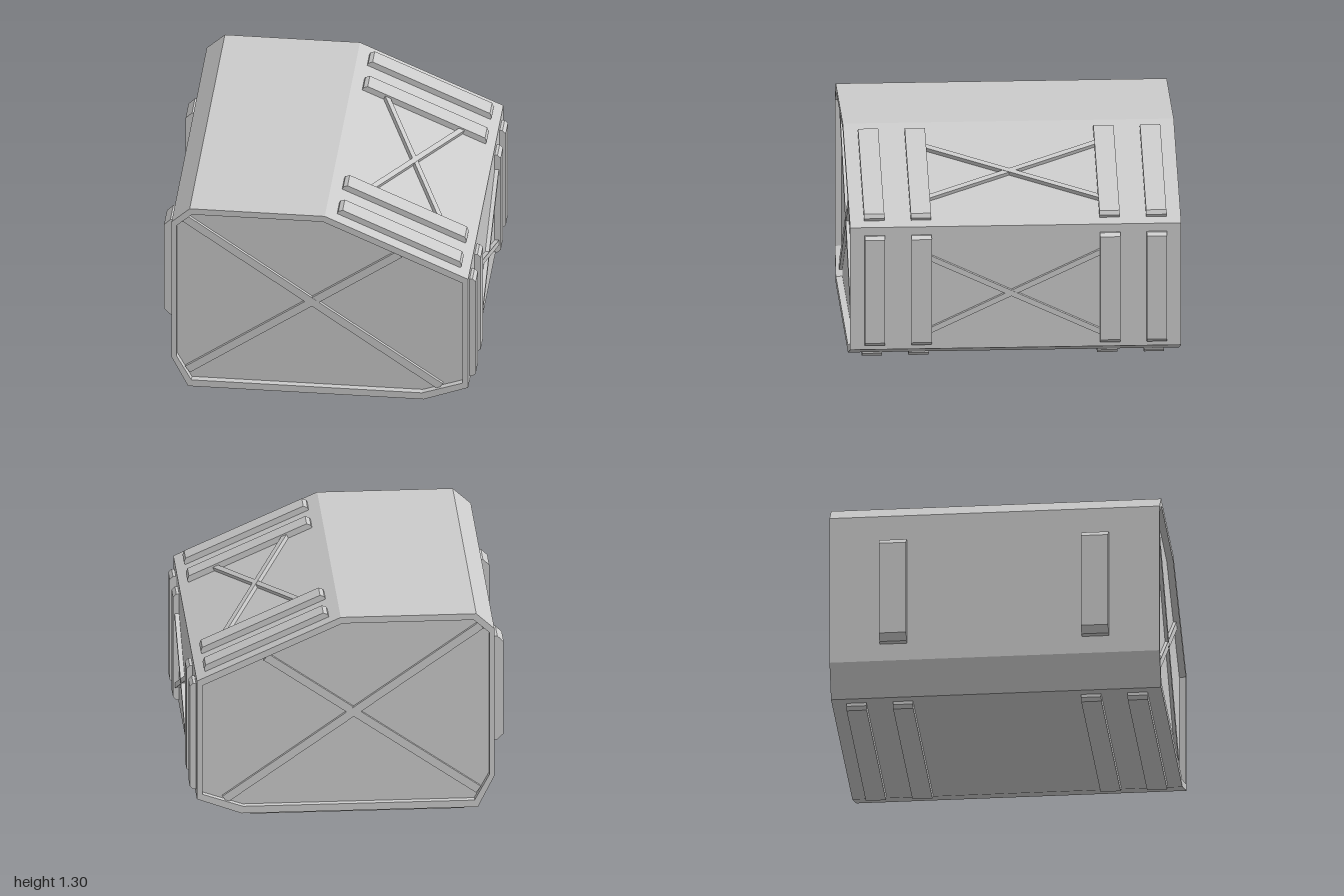
import * as THREE from 'three';

const material = new THREE.MeshStandardMaterial({ color: 0xcccccc, flatShading: true });
const panelMaterial = new THREE.MeshStandardMaterial({ color: 0xcccccc, flatShading: true, side: THREE.DoubleSide });

const OUTER = [[-0.88, 0.24], [-0.78, 0.04], [0.65, 0.04], [0.92, 0.14], [0.92, 0.91], [0.05, 1.30], [-0.77, 1.30], [-0.88, 1.20]];
const INNER = [[-0.85, 0.25], [-0.76, 0.085], [0.64, 0.085], [0.885, 0.17], [0.885, 0.88], [0.04, 1.26], [-0.755, 1.26], [-0.85, 1.175]];
const RECESS = 0.04;

const toPoints = (list) => list.map(([x, y]) => new THREE.Vector2(x, y));

function addMesh(parent, name, geometry, mat = material) {
  const mesh = new THREE.Mesh(geometry, mat);
  mesh.name = name;
  parent.add(mesh);
  return mesh;
}

// Local frame on one side of the crate: x runs along the face, y points outwards, z along the crate
function faceFrame(parent, name, x, y, nx, ny) {
  const frame = new THREE.Group();
  frame.name = name;
  frame.position.set(x, y, 0);
  frame.rotation.z = Math.atan2(-nx, ny);
  parent.add(frame);
  return frame;
}

// Raised strips with chamfered ends, mirrored front to back
function addBattens(frame, length, height, chamfer, width, zCentres) {
  const h = length / 2;
  const profile = new THREE.Shape(toPoints([
    [-h, -0.005], [h, -0.005], [h, height - chamfer], [h - chamfer, height],
    [-h + chamfer, height], [-h, height - chamfer],
  ]));
  for (const zc of zCentres) {
    for (const side of [1, -1]) {
      const geometry = new THREE.ExtrudeGeometry(profile, { depth: width, bevelEnabled: false });
      geometry.translate(0, 0, side * zc - width / 2);
      addMesh(frame, 'batten', geometry);
    }
  }
}

// Diagonal bar on a side face, from uFront at z = 0.51 to uBack at z = -0.51
function addSideBrace(frame, uFront, uBack, width, height) {
  const du = uFront - uBack, dz = 1.02;
  const brace = addMesh(frame, 'sideBrace', new THREE.BoxGeometry(width, height, Math.hypot(du, dz) + 0.02));
  brace.position.set((uFront + uBack) / 2, height / 2, 0);
  brace.rotation.y = Math.atan2(du, dz);
}

// Diagonal bar on a recessed end panel
function addEndBrace(parent, a, b, side, height) {
  const dx = b[0] - a[0], dy = b[1] - a[1];
  const brace = addMesh(parent, 'endBrace', new THREE.BoxGeometry(Math.hypot(dx, dy), 0.05, height));
  brace.position.set((a[0] + b[0]) / 2, (a[1] + b[1]) / 2, side * (1 - RECESS + height / 2));
  brace.rotation.z = Math.atan2(dy, dx);
}

export function createModel() {
  const model = new THREE.Group();
  model.name = 'cargoContainer';

  // Eight-sided shell with a rim at both ends
  const outline = new THREE.Shape(toPoints(OUTER));
  outline.holes.push(new THREE.Path(toPoints(INNER)));
  const shell = new THREE.ExtrudeGeometry(outline, { depth: 2, bevelEnabled: false });
  shell.translate(0, 0, -1);
  addMesh(model, 'shell', shell);

  // Recessed end panels with crossed braces
  for (const side of [1, -1]) {
    const panel = new THREE.ShapeGeometry(new THREE.Shape(toPoints(INNER)));
    panel.translate(0, 0, side * (1 - RECESS));
    addMesh(model, 'endPanel', panel, panelMaterial);
    addEndBrace(model, [-0.80, 1.215], [0.75, 0.125], side, 0.02);
    addEndBrace(model, [-0.785, 0.145], [0.50, 1.045], side, 0.019);
  }

  // Upright left-hand (+x) wall
  const wall = faceFrame(model, 'uprightWall', 0.92, 0.515, 1, 0);
  addBattens(wall, 0.69, 0.037, 0.02, 0.122, [0.57, 0.852]);
  addSideBrace(wall, -0.2, 0.275, 0.033, 0.027);
  addSideBrace(wall, 0.25, -0.225, 0.033, 0.025);

  // Sloping roof
  const slope = faceFrame(model, 'slopingRoof', 0.49, 1.103, 0.409, 0.913);
  addBattens(slope, 0.82, 0.037, 0.02, 0.122, [0.57, 0.852]);
  addSideBrace(slope, -0.235, 0.24, 0.033, 0.027);
  addSideBrace(slope, 0.22, -0.25, 0.033, 0.025);

  // Runners underneath
  const base = faceFrame(model, 'underside', -0.055, 0.04, 0, -1);
  addBattens(base, 1.33, 0.04, 0.02, 0.122, [0.57, 0.852]);

  // Thick bumpers on the opposite wall
  const bumperWall = faceFrame(model, 'bumperWall', -0.88, 0.688, -1, 0);
  addBattens(bumperWall, 0.675, 0.078, 0.039, 0.165, [0.612]);

  return model;
}
